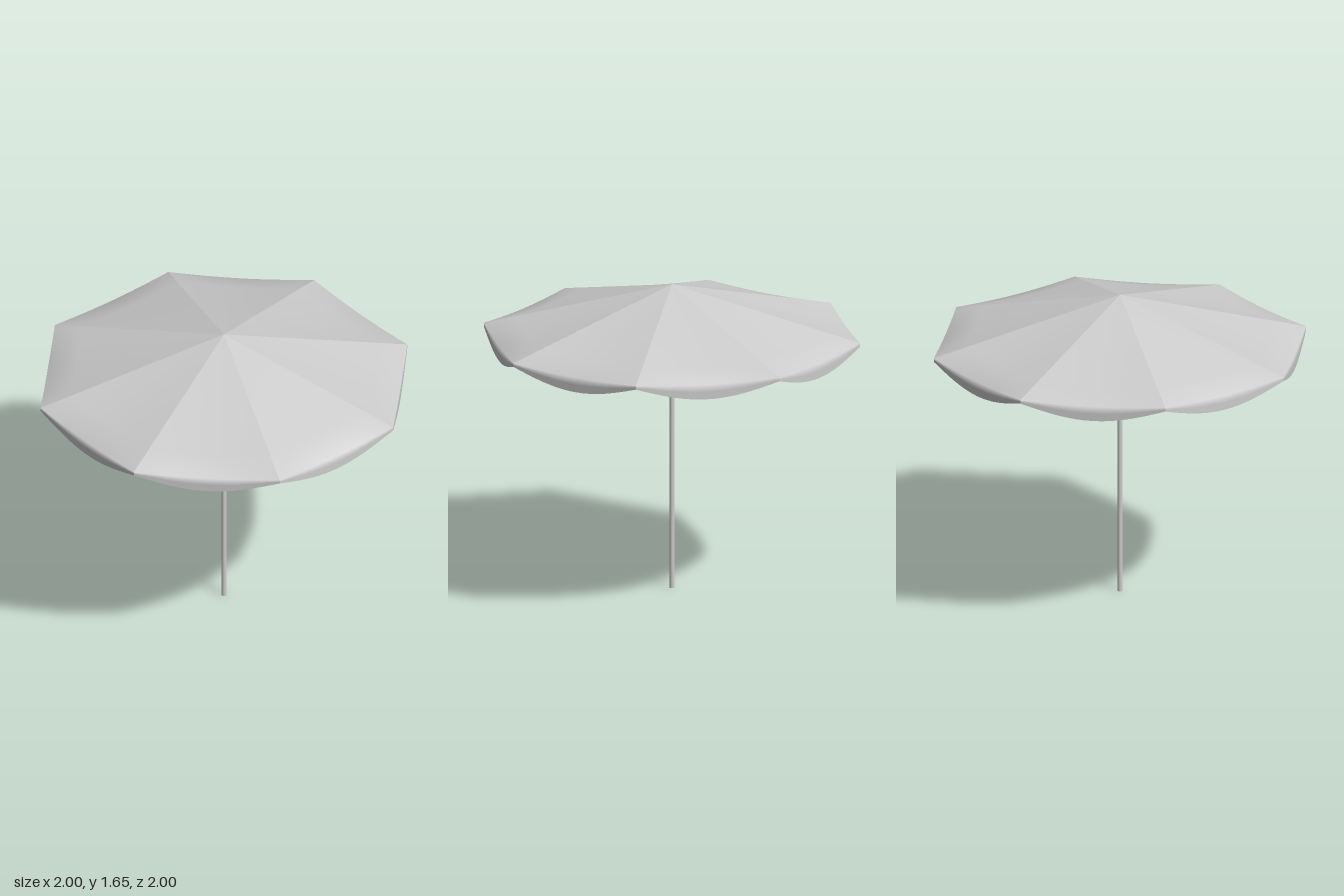
import * as THREE from 'three';

const SIDES = 8, COLS = 16;
const APEX = 1.65, RIM = 1.385, SAG = 0.015;

// One canopy panel: a sagging triangle from apex to rim, then a scalloped valance
function panelGeometry() {
  const half = Math.PI / SIDES;
  const rows = [0, 1 / 6, 1 / 3, 1 / 2, 2 / 3, 5 / 6, 1];
  const drops = [0.5, 1];
  const pos = [], index = [];
  const cornerX = Math.sin(half), depth = Math.cos(half);
  const addRow = (t, drop) => {
    for (let j = 0; j <= COLS; j++) {
      const s = j / COLS, arc = Math.sin(Math.PI * s);
      const y = APEX + (RIM - APEX) * t - SAG * arc * t * t;
      const scallop = 0.02 + 0.06 * arc;
      pos.push((2 * s - 1) * cornerX * t, y - drop * scallop, depth * t);
    }
  };
  rows.forEach(t => addRow(t, 0));
  drops.forEach(d => addRow(1, d));
  const n = COLS + 1;
  for (let i = 0; i < rows.length + drops.length - 1; i++) {
    for (let j = 0; j < COLS; j++) {
      const a = i * n + j, b = a + n;
      index.push(a, b, b + 1);
      if (i > 0) index.push(a, b + 1, a + 1);
    }
  }
  const geo = new THREE.BufferGeometry();
  geo.setAttribute('position', new THREE.Float32BufferAttribute(pos, 3));
  geo.setIndex(index);
  geo.computeVertexNormals();
  return geo;
}

export function createModel() {
  const grey = new THREE.MeshStandardMaterial({ color: 0xcccccc, side: THREE.DoubleSide });
  grey.name = 'light grey';
  const model = new THREE.Group();
  model.name = 'parasol';

  // Eight panels, with corners on the x and z axes
  const canopy = new THREE.Group();
  canopy.name = 'canopy';
  const geo = panelGeometry();
  for (let k = 0; k < SIDES; k++) {
    const panel = new THREE.Mesh(geo, grey);
    panel.name = 'canopyPanel' + (k + 1);
    panel.rotation.y = (k + 0.5) * 2 * Math.PI / SIDES;
    canopy.add(panel);
  }
  model.add(canopy);

  // Pole from the ground to just under the apex
  const height = APEX - 0.008;
  const pole = new THREE.Mesh(new THREE.CylinderGeometry(0.014, 0.014, height, 16), grey);
  pole.name = 'pole';
  pole.position.y = height / 2;
  model.add(pole);

  return model;
}
